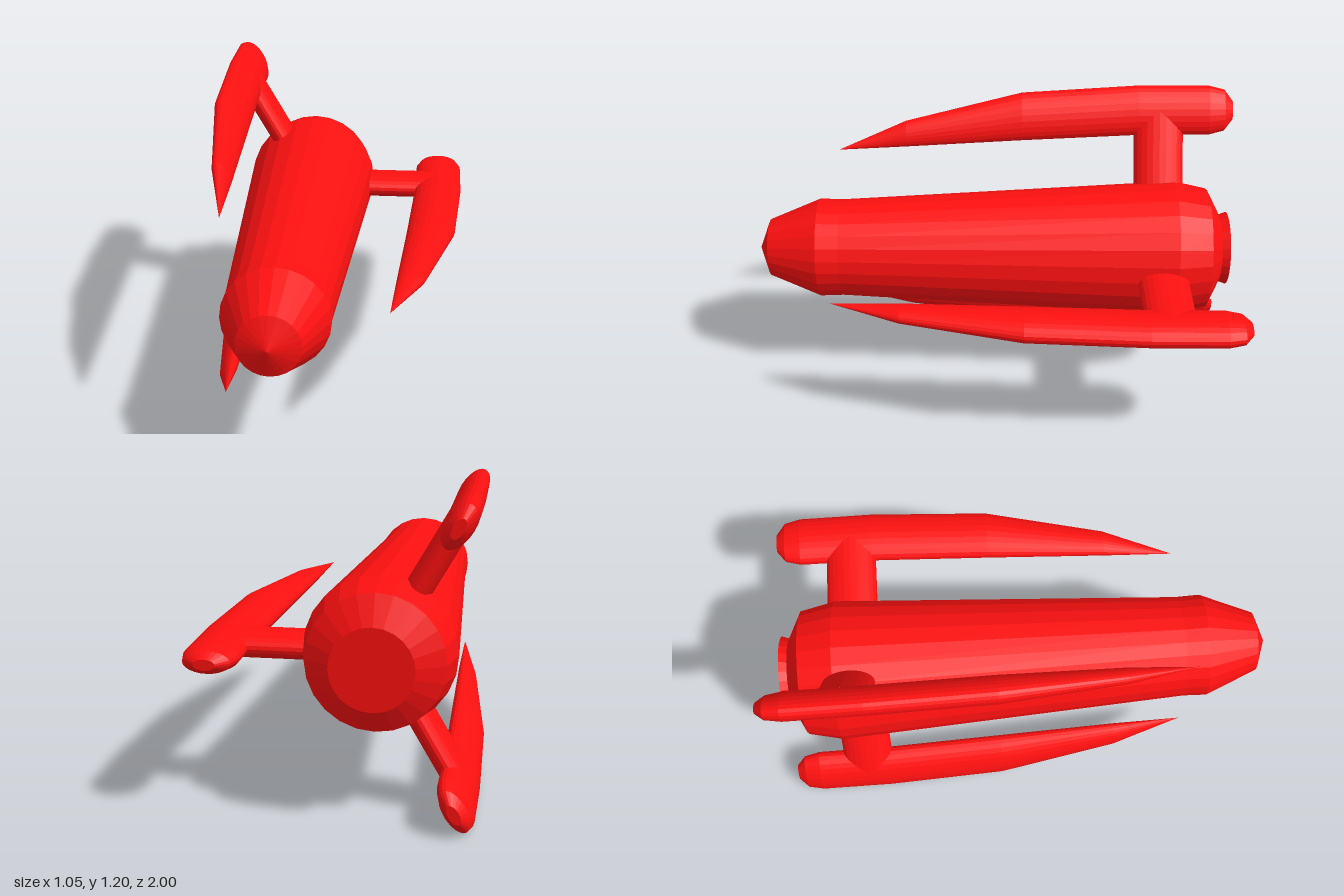
import * as THREE from 'three';

const SIDES = 24;
const AXIS = { x: -0.165, y: 0.602 };

// Profile of [z, radius] pairs, back to front, turned around the z axis
function turned(profile) {
  const points = profile.map(([z, r]) => new THREE.Vector2(r, z));
  return new THREE.LatheGeometry(points, SIDES).rotateX(Math.PI / 2);
}

// Loft of ellipses, each [z, inner radius, outer radius, half thickness]
function podGeometry(sections) {
  const geometry = turned(sections.map(([z]) => [z, 1]));
  const pos = geometry.attributes.position;
  for (let i = 0; i < pos.count; i++) {
    const [z, inner, outer, thick] = sections[i % sections.length];
    pos.setXYZ(i, (inner + outer) / 2 + pos.getX(i) * (outer - inner) / 2, pos.getY(i) * thick, z);
  }
  geometry.computeVertexNormals();
  return geometry;
}

export function createModel() {
  const model = new THREE.Group();
  model.name = 'rocketShip';
  const red = new THREE.MeshStandardMaterial({ color: 0xff1010, flatShading: true });

  const ship = new THREE.Group();
  ship.name = 'ship';
  ship.position.set(AXIS.x, AXIS.y, 0);
  model.add(ship);

  const add = (parent, geometry, name) => {
    const mesh = new THREE.Mesh(geometry, red);
    mesh.name = name;
    parent.add(mesh);
    return mesh;
  };

  // Tapered hull with blunt nose
  add(ship, turned([
    [-0.945, 0], [-0.945, 0.14], [-0.887, 0.253], [-0.75, 0.283],
    [0.65, 0.204], [0.745, 0.207], [0.955, 0.12], [1, 0],
  ]), 'hull');

  // Slightly flared exhaust
  add(ship, turned([[-0.976, 0], [-0.976, 0.153], [-0.935, 0.138], [-0.935, 0]]), 'exhaust');

  const pod = podGeometry([
    [-1, 0.583, 0.583, 0],
    [-1, 0.543, 0.622, 0.02],
    [-0.965, 0.497, 0.67, 0.042],
    [-0.9, 0.48, 0.686, 0.052],
    [-0.6, 0.478, 0.686, 0.052],
    [-0.11, 0.455, 0.656, 0.051],
    [0.38, 0.428, 0.537, 0.03],
    [0.665, 0.414, 0.414, 0],
  ]);

  // Elliptical strut lying along the radial direction
  const strut = new THREE.CylinderGeometry(1, 1, 0.37, SIDES)
    .rotateZ(-Math.PI / 2)
    .scale(1, 0.0515, 0.104)
    .translate(0.385, 0, -0.688);

  // Three pods on struts, evenly spaced around the hull
  ['left', 'upper', 'lower'].forEach((side, i) => {
    const fin = new THREE.Group();
    fin.name = side + 'Fin';
    fin.rotation.z = i * Math.PI * 2 / 3;
    add(fin, pod, side + 'Pod');
    add(fin, strut, side + 'Strut');
    ship.add(fin);
  });

  return model;
}
